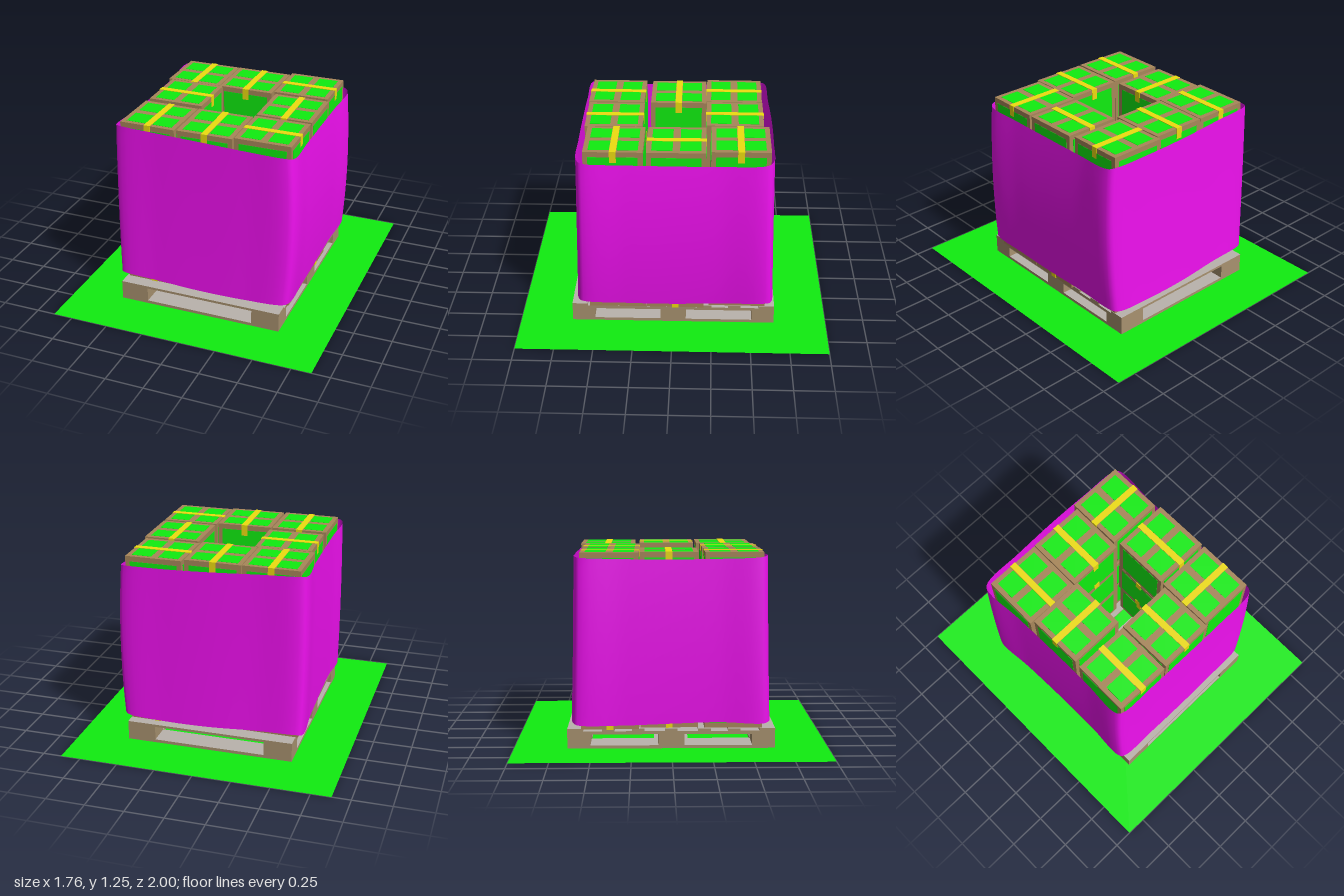
import * as THREE from 'three';

const mat = (color, extra = {}) => new THREE.MeshStandardMaterial({ color, ...extra });
const green = mat(0x10ee10, { side: THREE.DoubleSide });
const card = mat(0xa8875a);
const yellow = mat(0xeedd10);
const tan = mat(0xa8926f);
const grey = mat(0xbab3ac);
const film = mat(0xee10ee, { side: THREE.DoubleSide });
const board = [tan, tan, grey, grey, tan, tan]; // weathered faces, tan edges

function box(parent, name, material, size, pos) {
  const mesh = new THREE.Mesh(new THREE.BoxGeometry(...size), material);
  mesh.name = name;
  mesh.position.set(...pos);
  parent.add(mesh);
  return mesh;
}

function seeded(seed) {
  return () => {
    seed = (seed * 16807) % 2147483647;
    return seed / 2147483647 - 0.5;
  };
}

function makePallet() {
  const pallet = new THREE.Group();
  pallet.name = 'pallet';
  for (const x of [-0.457, 0.457]) {
    box(pallet, 'bottomRunner', board, [0.185, 0.02, 1.32], [x, 0.012, 0]);
    box(pallet, 'stringer', board, [0.185, 0.02, 1.32], [x, 0.104, 0]);
    for (const [z, d] of [[-0.587, 0.146], [0, 0.166], [0.587, 0.146]]) {
      box(pallet, 'block', tan, [0.185, 0.072, d], [x, 0.058, z]);
    }
  }
  // bottom cross boards fit between the runners
  for (const [z, d] of [[-0.587, 0.146], [0, 0.22], [0.587, 0.146]]) {
    box(pallet, 'bottomCrossBoard', board, [0.73, 0.02, d], [0, 0.012, z]);
  }
  for (const z of [-0.61, -0.4, -0.21, 0, 0.21, 0.4, 0.61]) {
    box(pallet, 'topSlat', board, [1.1, 0.016, Math.abs(z) > 0.6 ? 0.1 : 0.08], [0, 0.122, z]);
  }
  return pallet;
}

const S = 0.367; // carton width
const H = 0.373; // carton height

function makeCarton() {
  const carton = new THREE.Group();
  carton.name = 'carton';
  box(carton, 'cardboard', card, [S, H - 0.002, S], [0, H / 2, 0]);
  // four coloured patches on the lid
  for (const x of [-0.088, 0.088]) {
    for (const z of [-0.088, 0.088]) {
      box(carton, 'lidPatch', green, [0.13, 0.002, 0.13], [x, H - 0.001, z]);
    }
  }
  // coloured side patches
  const w = S - 0.06, h = H - 0.07;
  box(carton, 'sidePatches', green, [S + 0.003, h, w], [0, H / 2, 0]);
  box(carton, 'frontBackPatches', green, [w, h, S + 0.003], [0, H / 2, 0]);
  // packing tape over the lid and base, folded down both ends
  for (const y of [H - 0.035, 0.035]) {
    box(carton, 'tape', yellow, [0.042, 0.074, S + 0.006], [0, y, 0]);
  }
  return carton;
}

function makeCartons() {
  const stack = new THREE.Group();
  stack.name = 'cartonStack';
  const rand = seeded(77);
  // top layer centres; the middle cell is left empty
  const cells = [
    [-0.38, -0.385], [-0.008, -0.385], [0.367, -0.417],
    [-0.355, -0.015], [0.387, -0.02],
    [-0.363, 0.395], [0.015, 0.39], [0.388, 0.367],
  ];
  const tapeAxis = ['xzzxxzzz', 'zxzzxxzx', 'zzxxzzzx'];
  for (let layer = 0; layer < 3; layer++) {
    cells.forEach(([x, z], i) => {
      const carton = makeCarton();
      const j = layer === 2 ? 0 : 0.02;
      carton.position.set(x * 0.985 + rand() * j, 0.131 + layer * H, z * 0.985 + rand() * j);
      if (layer === 2) carton.position.set(x, 0.131 + layer * H, z);
      carton.rotation.y = (tapeAxis[layer][i] === 'x' ? Math.PI / 2 : 0) + rand() * 0.02;
      stack.add(carton);
    });
  }
  return stack;
}

// Open film sleeve lofted through three closed outlines
function makeWrap() {
  const rim = [
    [-0.585, 1.22, 0.555], [-0.56, 1.228, 0.592], [-0.3, 1.22, 0.602], [0, 1.21, 0.604],
    [0.3, 1.197, 0.602], [0.555, 1.188, 0.592], [0.59, 1.18, 0.56], [0.588, 1.17, 0.3],
    [0.583, 1.165, 0], [0.582, 1.165, -0.3], [0.59, 1.18, -0.575], [0.56, 1.19, -0.612],
    [0.3, 1.195, -0.625], [0, 1.205, -0.625], [-0.3, 1.217, -0.612], [-0.56, 1.225, -0.6],
    [-0.6, 1.22, -0.57], [-0.588, 1.21, -0.3], [-0.58, 1.207, 0], [-0.578, 1.21, 0.3],
  ];
  const outline = (f) => new THREE.CatmullRomCurve3(
    rim.map((p, i) => new THREE.Vector3(...f(p, i))), true, 'centripetal');
  const top = outline((p) => p);
  const mid = outline(([x, y, z]) => [x * (x > 0 ? 1.035 : 1.01), (y + 0.17) / 2, z * 1.015]);
  const low = outline(([x, , z], i) => [x * 0.995, 0.168 + 0.009 * Math.sin(i * 1.4), z * 1.04]);

  const N = 120, R = 16, pos = [], idx = [];
  for (let j = 0; j <= R; j++) {
    const t = j / R;
    for (let i = 0; i < N; i++) {
      const u = i / N;
      const p = low.getPoint(u).multiplyScalar((1 - t) * (1 - 2 * t))
        .addScaledVector(mid.getPoint(u), 4 * t * (1 - t))
        .addScaledVector(top.getPoint(u), t * (2 * t - 1));
      pos.push(p.x, p.y, p.z);
      if (j < R) {
        const a = j * N + i, b = j * N + (i + 1) % N;
        idx.push(a, b, b + N, a, b + N, a + N);
      }
    }
  }
  const geo = new THREE.BufferGeometry();
  geo.setAttribute('position', new THREE.Float32BufferAttribute(pos, 3));
  geo.setIndex(idx);
  geo.computeVertexNormals();
  const wrap = new THREE.Mesh(geo, film);
  wrap.name = 'stretchWrap';
  return wrap;
}

export function createModel() {
  const model = new THREE.Group();
  model.name = 'wrappedPallet';
  const sheet = new THREE.Mesh(new THREE.PlaneGeometry(1.76, 2), green);
  sheet.name = 'baseSheet';
  sheet.rotation.x = -Math.PI / 2;
  model.add(sheet, makePallet(), makeCartons(), makeWrap());
  return model;
}
